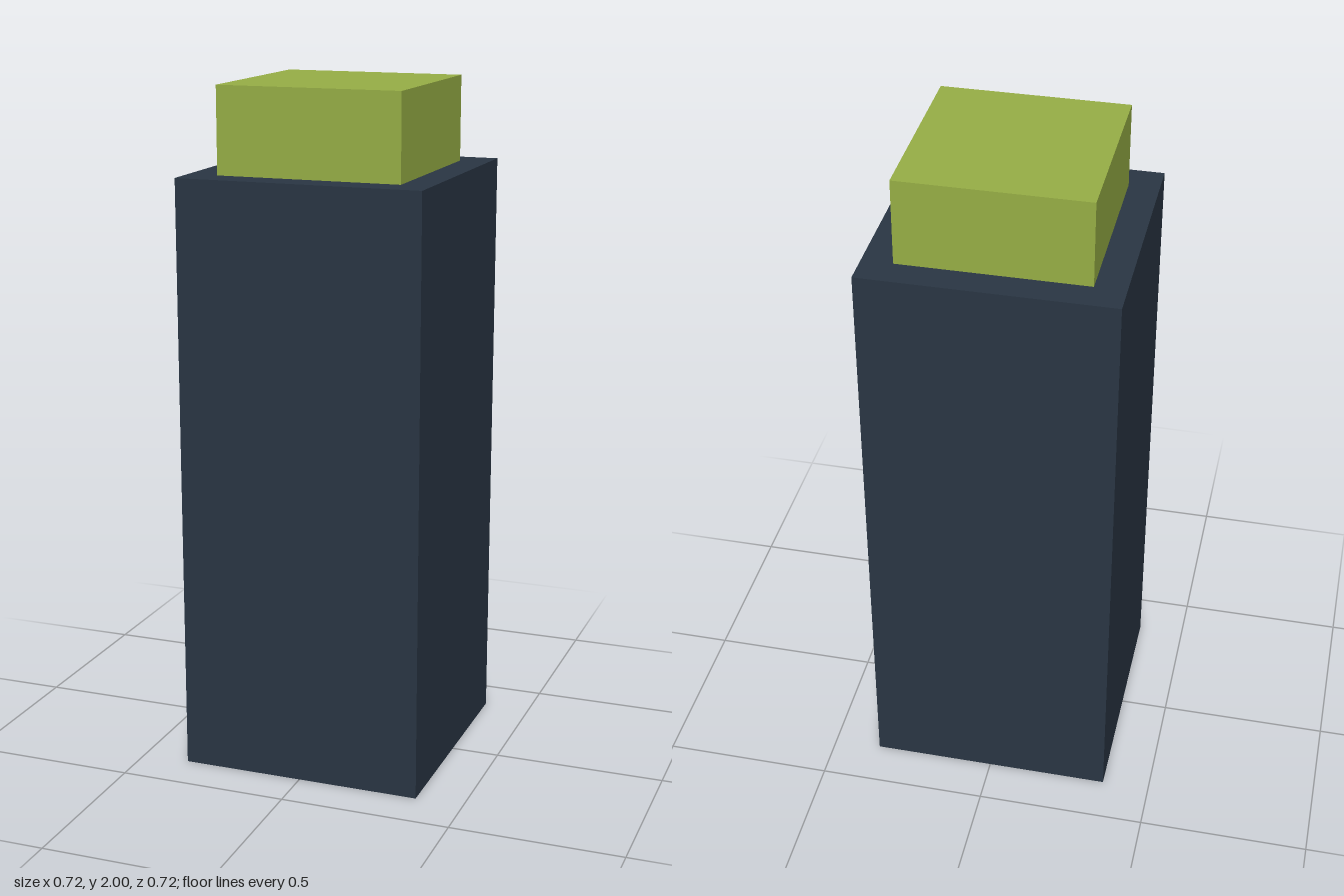
import * as THREE from 'three';

// Box resting on the given base height
function block(name, width, height, depth, baseY, color) {
  const mesh = new THREE.Mesh(
    new THREE.BoxGeometry(width, height, depth),
    new THREE.MeshStandardMaterial({ color })
  );
  mesh.name = name;
  mesh.position.y = baseY + height / 2;
  return mesh;
}

export function createModel() {
  const group = new THREE.Group();
  group.name = 'cappedBlock';
  const bodyHeight = 1.75;

  // Tall dark body
  group.add(block('body', 0.718, bodyHeight, 0.724, 0, 0x2a3644));
  // Narrower green cap on top
  group.add(block('cap', 0.54, 2 - bodyHeight, 0.546, bodyHeight, 0x98b046));

  return group;
}
